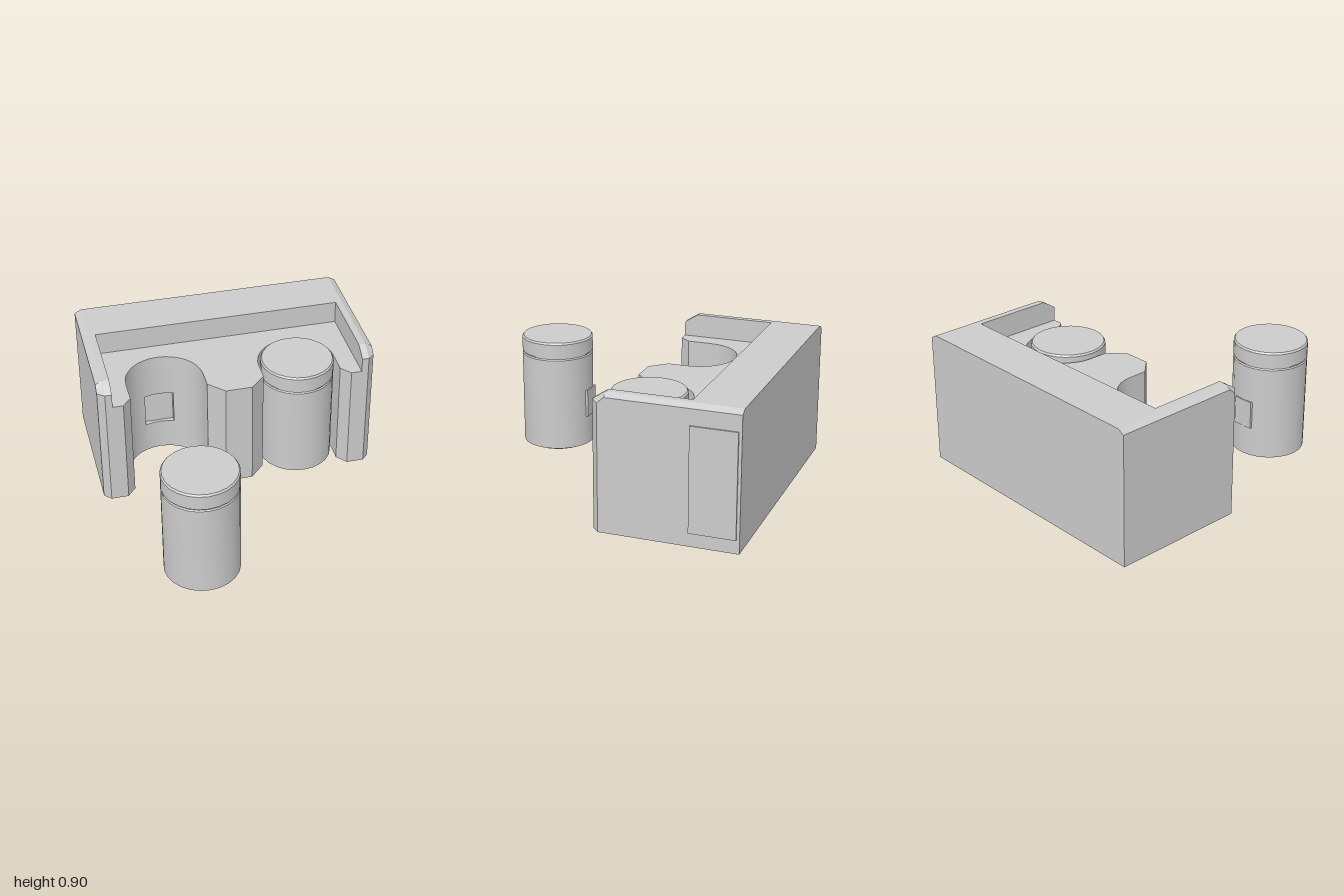
import * as THREE from 'three';
import { toCreasedNormals } from 'three/addons/utils/BufferGeometryUtils.js';

const OUTER = 0.9225, BEVEL = 0.8775, INNER = 0.8325; // half widths of the side rims
const DECK = 0.75, TOP = 0.905, BACK = -1, LEDGE = -0.67, FRONT = -0.05;
const SLOT = { y0: 0.215, y1: 0.45, z: -0.555 };
const CREASE = 0.4;

const grey = new THREE.MeshStandardMaterial({ color: 0xcccccc });
const greyOpen = new THREE.MeshStandardMaterial({ color: 0xcccccc, side: THREE.DoubleSide });

function add(parent, name, geometry, material, x = 0, y = 0, z = 0) {
  const mesh = new THREE.Mesh(geometry, material);
  mesh.name = name;
  mesh.position.set(x, y, z);
  parent.add(mesh);
  return mesh;
}

// Collects faces of the right half and their mirror images
function mirroredFaces() {
  const pos = [];
  const flip = (p) => [-p[0], p[1], p[2]];
  const tri = (a, b, c) => pos.push(...a, ...b, ...c, ...flip(a), ...flip(c), ...flip(b));
  const fan = (...p) => {
    for (let i = 1; i < p.length - 1; i++) tri(p[0], p[i], p[i + 1]);
  };
  const build = () => {
    const g = new THREE.BufferGeometry();
    g.setAttribute('position', new THREE.Float32BufferAttribute(pos, 3));
    return toCreasedNormals(g, CREASE);
  };
  return { tri, fan, build };
}

// Front outline of the right half as [x, z], from the middle to the rim
function frontOutline() {
  const pts = [[0, FRONT], [0.09, FRONT], [0.19, -0.155]];
  const arcStart = pts.length;
  for (let i = 0; i <= 16; i++) {
    const a = Math.PI * (1 - i / 16);
    pts.push([0.4475 + 0.2575 * Math.cos(a), -0.28 - 0.255 * Math.sin(a)]);
  }
  pts.push([0.705, -0.12], [0.7625, FRONT], [INNER, FRONT]);
  return { pts, slotFrom: arcStart + 6, slotTo: arcStart + 10 };
}

// Skirt that runs around both bays, with a shallow slot at the back of each
function skirtGeometry() {
  const { fan, build } = mirroredFaces();
  const { pts, slotFrom, slotTo } = frontOutline();
  const strip = (p, q, y0, y1) =>
    fan([p[0], y0, p[1]], [q[0], y0, q[1]], [q[0], y1, q[1]], [p[0], y1, p[1]]);
  for (let i = 0; i < pts.length - 1; i++) {
    const p = pts[i], q = pts[i + 1];
    if (i < slotFrom || i >= slotTo) {
      strip(p, q, 0, DECK);
      continue;
    }
    const p2 = [p[0], SLOT.z], q2 = [q[0], SLOT.z];
    strip(p, q, 0, SLOT.y0);
    strip(p, q, SLOT.y1, DECK);
    strip(p2, q2, SLOT.y0, SLOT.y1);
    const level = (y) => [p, q, q2, p2].map(([x, z]) => [x, y, z]);
    fan(...level(SLOT.y0));
    fan(...level(SLOT.y1).reverse());
  }
  const a = pts[slotFrom], b = pts[slotTo];
  strip(a, [a[0], SLOT.z], SLOT.y0, SLOT.y1);
  strip([b[0], SLOT.z], b, SLOT.y0, SLOT.y1);
  return build();
}

// Deck between the rims
function deckGeometry() {
  const { tri, build } = mirroredFaces();
  const outline = [...frontOutline().pts, [INNER, LEDGE], [0, LEDGE]];
  const shape = new THREE.Shape(outline.map(([x, z]) => new THREE.Vector2(x, -z)));
  const flat = new THREE.ShapeGeometry(shape).toNonIndexed().attributes.position;
  const at = (i) => [flat.getX(i), DECK, -flat.getY(i)];
  for (let i = 0; i < flat.count; i += 3) tri(at(i), at(i + 1), at(i + 2));
  return build();
}

// Side walls with bevelled rims, lofted from back to front, and the back wall
function casingGeometry() {
  const { fan, build } = mirroredFaces();
  const section = (z, outer, shoulder, top) => [
    [outer, 0, z], [outer, shoulder, z], [BEVEL, top, z], [INNER, top, z], [INNER, DECK, z],
  ];
  const loft = [
    section(BACK, OUTER, 0.88, TOP),
    section(LEDGE, OUTER, 0.88, TOP),
    section(-0.14, OUTER, 0.88, TOP),
    section(-0.095, OUTER, 0.84, 0.877),
    section(FRONT, BEVEL, 0.847, 0.847),
  ];
  for (let k = 0; k < loft.length - 1; k++) {
    const b = loft[k], f = loft[k + 1];
    const sides = k === 0 ? 3 : 4; // no inner side where the back ledge joins
    for (let i = 0; i < sides; i++) fan(f[i], b[i], b[i + 1], f[i + 1]);
  }
  // Front ends of the side walls
  fan([INNER, 0, FRONT], [BEVEL, 0, FRONT], [BEVEL, 0.847, FRONT], [INNER, 0.847, FRONT]);
  // Back wall, its ledge and the step down to the deck
  fan([0, 0, BACK], [0, TOP, BACK], [BEVEL, TOP, BACK], [OUTER, 0.88, BACK], [OUTER, 0, BACK]);
  fan([0, TOP, LEDGE], [INNER, TOP, LEDGE], [INNER, TOP, BACK], [0, TOP, BACK]);
  fan([0, DECK, LEDGE], [INNER, DECK, LEDGE], [INNER, TOP, LEDGE], [0, TOP, LEDGE]);
  return build();
}

// Round canister with a foot, a groove below the lid and a tab at the back
function canister(name, x, z) {
  const group = new THREE.Group();
  group.name = name;
  const turned = (points) => toCreasedNormals(
    new THREE.LatheGeometry(points.map(([r, y]) => new THREE.Vector2(r, y)), 24), CREASE);
  add(group, 'canisterBody', turned([
    [0, 0.008], [0.208, 0.008], [0.208, 0.025], [0.245, 0.025],
    [0.245, 0.665], [0.238, 0.673], [0.238, 0.682],
  ]), grey);
  add(group, 'canisterLid', turned([
    [0.235, 0.682], [0.245, 0.682], [0.245, 0.778], [0.236, 0.79], [0, 0.79],
  ]), grey);
  add(group, 'canisterTab', new THREE.BoxGeometry(0.14, 0.19, 0.03), grey, 0, 0.325, -0.235);
  group.position.set(x, 0, z);
  return group;
}

export function createModel() {
  const model = new THREE.Group();
  model.name = 'canisterDock';

  const dock = new THREE.Group();
  dock.name = 'dock';
  dock.position.x = -0.0075;
  add(dock, 'casing', casingGeometry(), greyOpen);
  add(dock, 'deck', deckGeometry(), greyOpen);
  add(dock, 'baySkirt', skirtGeometry(), greyOpen);
  add(dock, 'sidePanel', new THREE.BoxGeometry(0.02, 0.685, 0.3), grey, OUTER, 0.4325, -0.83);
  model.add(dock);

  model.add(canister('dockedCanister', 0.437, -0.255));
  model.add(canister('looseCanister', -0.445, 0.75));
  return model;
}
